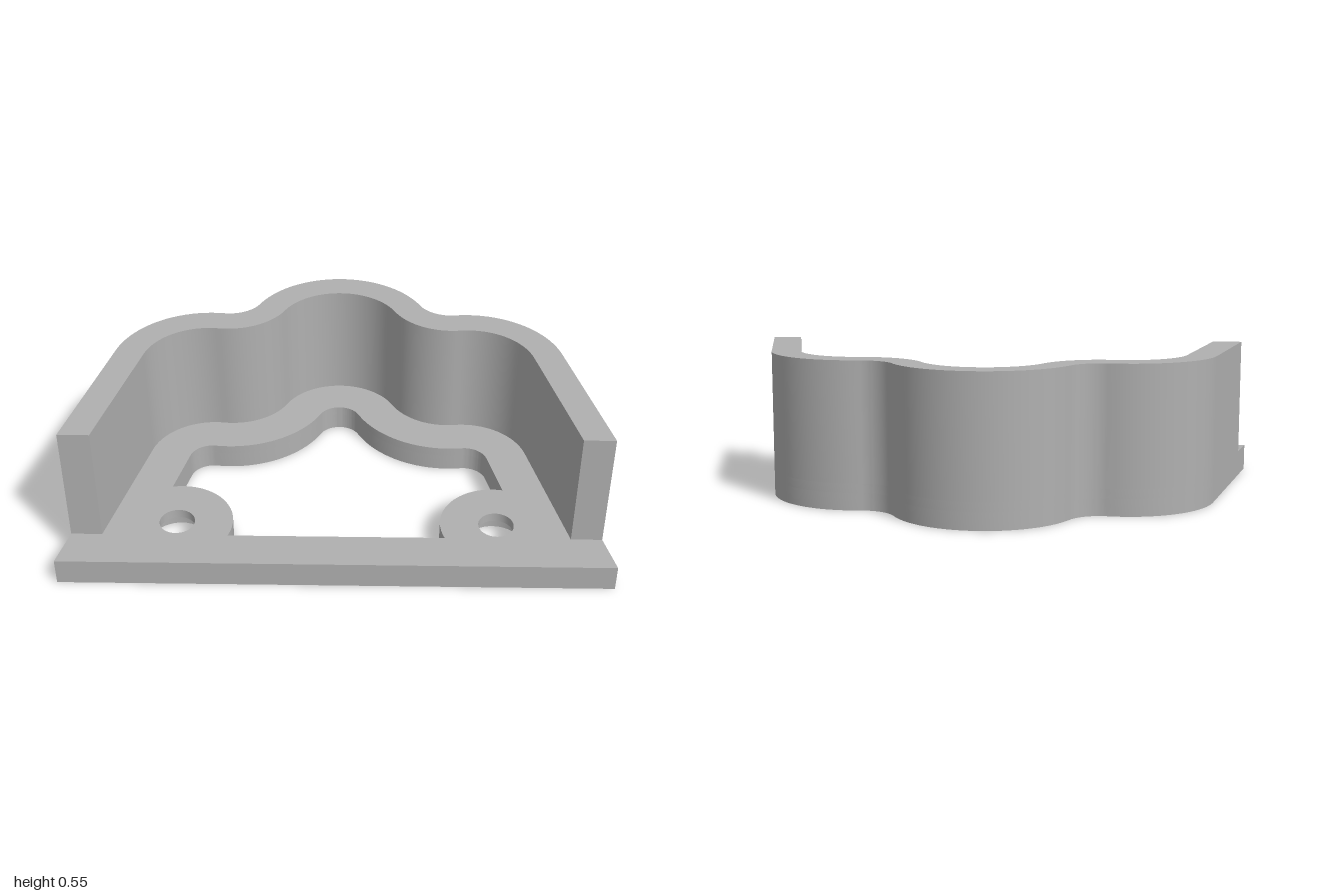
import * as THREE from 'three';
import { toCreasedNormals } from 'three/addons/utils/BufferGeometryUtils.js';

// Plan coordinates: x right, y towards the back (world -z)
const V = (x, y) => new THREE.Vector2(x, y);
const TAPER = 0.2365;            // lean of the straight sides
const LOBE = 0.35;               // outer lobe radius
const FILLET = 0.13;             // outer radius between lobes
const side = V(0.495, -0.005);   // side lobe centre
const mid = V(0, 0.26);          // middle lobe centre
const boss = V(0.585, -0.38);    // screw boss centre

// Centre of the concave fillet touching both lobes
const span = side.clone().sub(mid);
const rise = Math.sqrt((LOBE + FILLET) ** 2 - span.lengthSq() / 4);
const fillet = side.clone().add(mid).multiplyScalar(0.5)
  .add(V(-span.y, span.x).normalize().multiplyScalar(rise));

const heading = (from, to) => Math.atan2(to.y - from.y, to.x - from.x);

function arc(c, r, a0, a1, n = 20) {
  return Array.from({ length: n + 1 }, (_, i) => {
    const a = a0 + (a1 - a0) * i / n;
    return V(c.x + r * Math.cos(a), c.y + r * Math.sin(a));
  });
}

// Left half of the three-lobed contour, moved inwards by d
function lobes(d) {
  return [
    ...arc(side, LOBE - d, TAPER, heading(side, fillet)),
    ...arc(fillet, FILLET + d, heading(fillet, side), heading(fillet, mid)).slice(1),
    ...arc(mid, LOBE - d, heading(mid, fillet), Math.PI / 2).slice(1),
  ];
}

// Point on the straight side, moved inwards by d
function sidePoint(y, d) {
  const n = V(Math.cos(TAPER), Math.sin(TAPER));
  return V((n.dot(side) + LOBE - d - n.y * y) / n.x, y);
}

// Complete a half contour (ending on the centre line) by mirroring
const mirrored = half => [...half, ...half.slice(0, -1).reverse().map(p => V(-p.x, p.y))];

function extrude(shape, y0, y1) {
  const g = new THREE.ExtrudeGeometry(shape, { depth: y1 - y0, bevelEnabled: false });
  g.rotateX(-Math.PI / 2).translate(0, y0, 0);
  return toCreasedNormals(g, 0.5);
}

export function createModel() {
  const group = new THREE.Group();
  group.name = 'bracket';
  const grey = new THREE.MeshStandardMaterial({ color: 0xb0b0b0 });
  grey.name = 'grey';
  const add = (name, geometry) => {
    const mesh = new THREE.Mesh(geometry, grey);
    mesh.name = name;
    group.add(mesh);
  };

  // Base plate: opening follows the lobes and goes round the screw bosses
  const outline = mirrored([sidePoint(-0.605, 0), ...lobes(0)]);
  const opening = mirrored([
    ...arc(boss, 0.205, Math.PI + Math.asin(0.075 / 0.205), 1.378, 28),
    ...lobes(0.265),
  ]);
  function plate(holeRadius) {
    const shape = new THREE.Shape(outline);
    shape.holes.push(new THREE.Path(opening));
    for (const s of [1, -1]) {
      const hole = arc(V(s * boss.x, boss.y), holeRadius, 0, Math.PI * 2, 40).slice(0, -1);
      shape.holes.push(new THREE.Path(hole));
    }
    return shape;
  }
  add('basePlateCounterbored', extrude(plate(0.11), 0, 0.065));
  add('basePlateTop', extrude(plate(0.065), 0.065, 0.1));

  // Upright wall, open at the front
  const outer = mirrored([sidePoint(-0.455, 0), ...lobes(0)]);
  const inner = mirrored([sidePoint(-0.455, 0.11), ...lobes(0.11)]);
  add('wall', extrude(new THREE.Shape([...outer, ...inner.reverse()]), 0.1, 0.55));

  return group;
}
